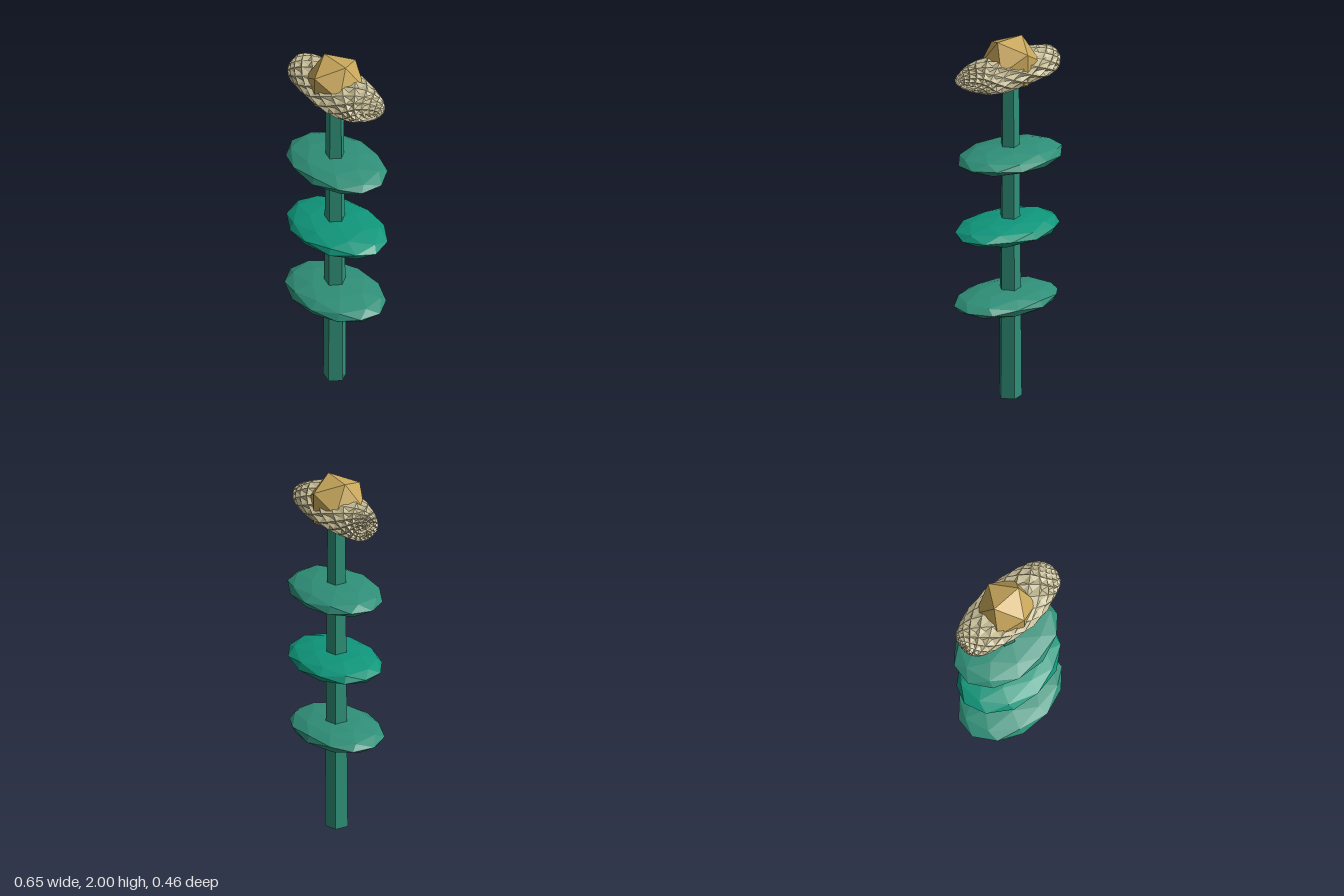
import * as THREE from 'three';

const mat = (color) => new THREE.MeshStandardMaterial({ color, flatShading: true });

function add(group, name, geometry, material, x, y, z = 0) {
  const mesh = new THREE.Mesh(geometry, material);
  mesh.name = name;
  mesh.position.set(x, y, z);
  group.add(mesh);
  return mesh;
}

// Spiky, squashed body: zigzag rings swept along x
function petalGeometry() {
  // x, half height, half depth
  const profile = [
    [-0.312, 0, 0], [-0.309, 0.05, 0.05], [-0.295, 0.065, 0.078], [-0.25, 0.073, 0.108],
    [-0.16, 0.083, 0.137], [-0.03, 0.09, 0.155], [0.1, 0.09, 0.153], [0.2, 0.078, 0.13],
    [0.25, 0.056, 0.108], [0.295, 0.032, 0.078], [0.318, 0.014, 0.035], [0.322, 0, 0],
  ].map((p) => new THREE.Vector3(...p));
  const curve = new THREE.CatmullRomCurve3(profile);
  const rings = 24, sides = 22;
  const positions = [], index = [];
  for (let i = 0; i <= rings; i++) {
    const p = curve.getPoint(i / rings);
    for (let j = 0; j < sides; j++) {
      const a = (j / sides) * Math.PI * 2;
      const spike = (i + j) % 2 === 0;
      const vary = 0.03 * Math.sin(i * 2.3 + j * 4.1);
      const r = spike ? 1 + vary : 0.86 + vary;
      // Spikes lean towards the nearer end
      const x = p.x * (spike ? 1.03 : 0.98);
      positions.push(x, Math.cos(a) * p.y * r, Math.sin(a) * p.z * r);
    }
  }
  for (let i = 0; i < rings; i++) {
    for (let j = 0; j < sides; j++) {
      const k = (j + 1) % sides;
      const a = i * sides + j, b = i * sides + k;
      const c = a + sides, d = b + sides;
      // Alternate the diagonal so that every spike is a pyramid
      if ((i + j) % 2) index.push(a, b, c, b, d, c);
      else index.push(a, b, d, a, d, c);
    }
  }
  const g = new THREE.BufferGeometry();
  g.setAttribute('position', new THREE.Float32BufferAttribute(positions, 3));
  g.setIndex(index);
  const flat = g.toNonIndexed();
  flat.computeVertexNormals();
  return flat;
}

// Faceted, flattened leaf disc
function leafGeometry(turn) {
  const g = new THREE.IcosahedronGeometry(1, 1);
  g.rotateX(0.15);
  g.rotateY(turn);
  g.scale(0.318, 0.061, 0.226);
  g.computeVertexNormals();
  return g;
}

export function createModel() {
  const flower = new THREE.Group();
  flower.name = 'flower';
  const green = mat(0x2f8f78);
  const brightGreen = mat(0x0f967b);
  const cx = -0.012;

  // Five-sided tapering stem with one edge towards +x
  const stem = new THREE.CylinderGeometry(0.049, 0.0636, 1.8, 5);
  stem.rotateY(Math.PI / 2);
  add(flower, 'stem', stem, green, cx, 0.9);

  // Three leaf discs
  add(flower, 'lowerLeaf', leafGeometry(0.2 + Math.PI), green, 0.005, 0.55, 0.012);
  add(flower, 'middleLeaf', leafGeometry(0.55), brightGreen, 0.005, 0.95, 0);
  add(flower, 'upperLeaf', leafGeometry(0.2), green, -0.008, 1.35, -0.008);

  // Blossom
  add(flower, 'petals', petalGeometry(), mat(0xc4ba94), 0, 1.825);
  add(flower, 'core', new THREE.IcosahedronGeometry(0.1646, 0), mat(0xc9a85c), cx, 1.86);

  return flower;
}
